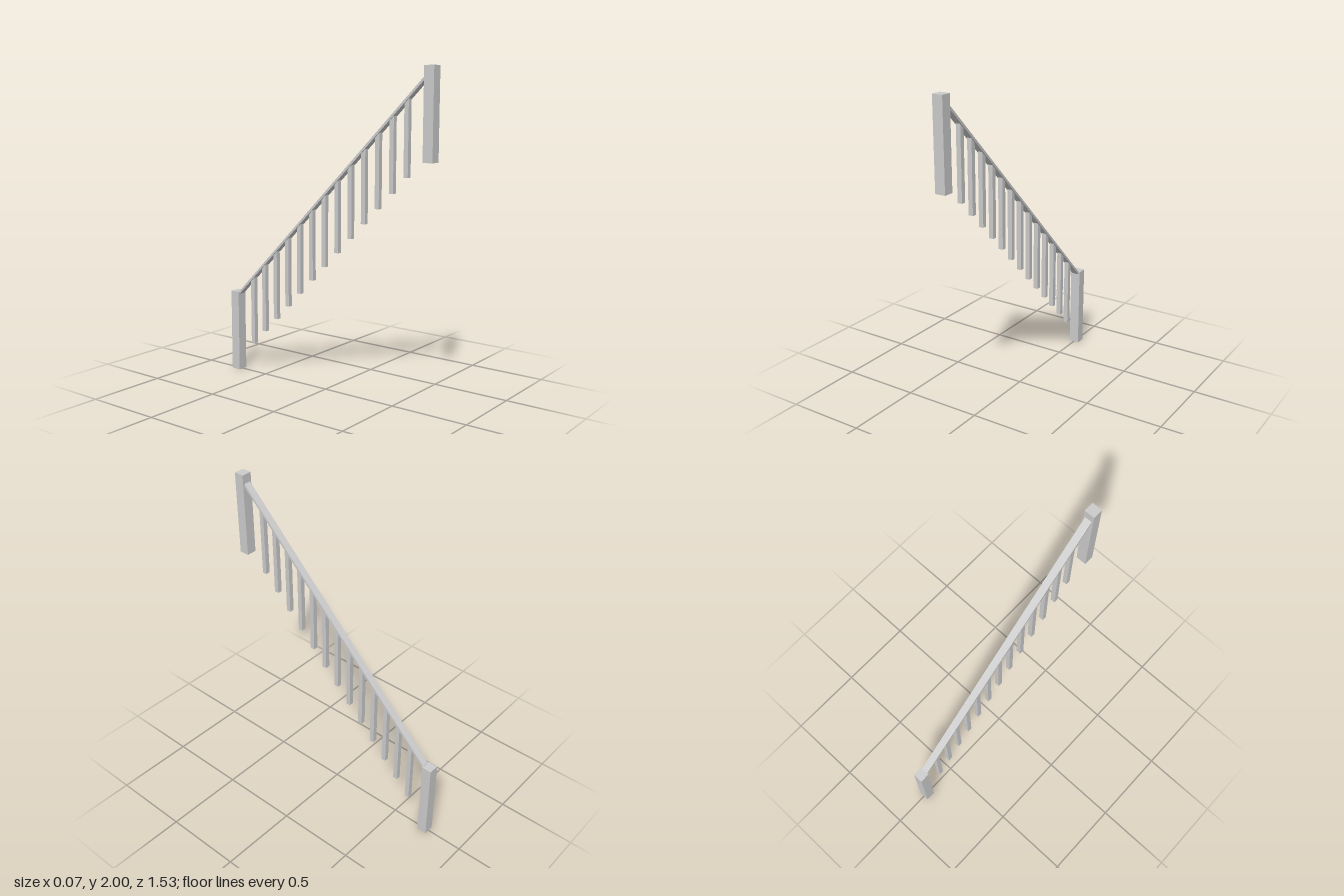
import * as THREE from 'three';

const material = new THREE.MeshStandardMaterial({ color: 0xcccccc, flatShading: true, side: THREE.DoubleSide });

// Box whose listed sides are left out (0 +x, 1 -x, 2 top, 3 bottom, 4 +z, 5 -z)
function openBox(w, h, d, openSides) {
  const geo = new THREE.BoxGeometry(w, h, d);
  const index = Array.from(geo.index.array);
  geo.setIndex(index.filter((_, i) => !openSides.includes(Math.floor(i / 6))));
  geo.clearGroups();
  return geo;
}

// Raise vertices along z so they follow the 45 degree pitch
function pitch(geo, onlyTop) {
  const p = geo.attributes.position;
  for (let i = 0; i < p.count; i++) {
    if (!onlyTop || p.getY(i) > 0) p.setY(i, p.getY(i) + p.getZ(i));
  }
  geo.computeVertexNormals();
  return geo;
}

export function createModel() {
  const group = new THREE.Group();
  const add = (name, geo, y, z) => {
    const mesh = new THREE.Mesh(geo, material);
    mesh.name = name;
    mesh.position.set(0, y, z);
    group.add(mesh);
  };

  // Newel posts, open underneath
  const postHeight = 0.535;
  const post = openBox(0.066, postHeight, 0.064, [3]);
  add('upperPost', post, 2 - postHeight / 2, 0.734);
  add('lowerPost', post, postHeight / 2, -0.734);

  // Thin flat handrail between the posts, cut vertically at its ends
  add('handrail', pitch(new THREE.BoxGeometry(0.046, 0.02, 1.406)), 1.231, 0);

  // Balusters stepping down the stair, with tops cut to the rail
  const count = 13, step = 0.0977, height = 0.434;
  const baluster = pitch(openBox(0.03, height, 0.029, [2, 3]), true);
  for (let i = 0; i < count; i++) {
    const z = -0.591 + i * step;
    add('baluster' + (i + 1), baluster, 0.2 + i * step + height / 2, z);
  }
  return group;
}
